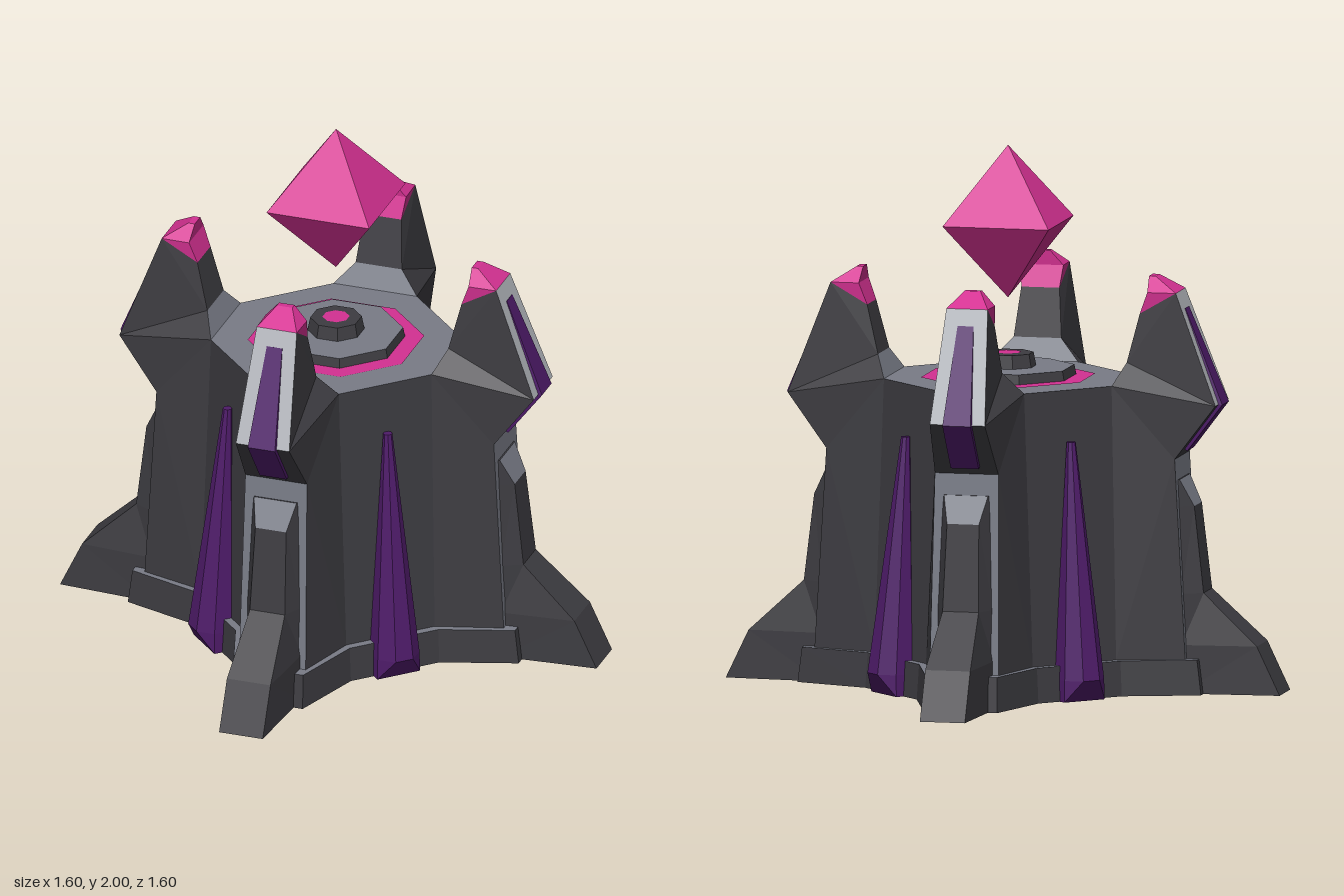
import * as THREE from 'three';

const mat = (name, color, side = THREE.FrontSide) => {
  const m = new THREE.MeshStandardMaterial({ color, side });
  m.name = name;
  return m;
};

// Flat faces from polygons; each one is turned to face away from ref
function faces(polys, ref) {
  const pos = [];
  const r = new THREE.Vector3(...ref);
  for (const poly of polys) {
    const p = poly.map(a => new THREE.Vector3(...a));
    const mid = p.reduce((s, q) => s.add(q), new THREE.Vector3()).divideScalar(p.length);
    const n = new THREE.Vector3();
    p.forEach((q, i) => n.add(q.clone().cross(p[(i + 1) % p.length])));
    if (n.dot(mid.sub(r)) < 0) p.reverse().unshift(p.pop());
    for (let i = 1; i < p.length - 1; i++)
      for (const q of [p[0], p[i], p[i + 1]]) pos.push(q.x, q.y, q.z);
  }
  const g = new THREE.BufferGeometry();
  g.setAttribute('position', new THREE.Float32BufferAttribute(pos, 3));
  g.computeVertexNormals();
  return g;
}

// Corner frame: u runs out along the diagonal, v across it
const corner = (u, y, v) => [(u + v) * Math.SQRT1_2, y, (u - v) * Math.SQRT1_2];
// A row is [u, y, half width]; half gives one end, pair both ends
const half = ([u, y, v], s) => corner(u, y, v * s);
const pair = row => [half(row, 1), half(row, -1)];
const band = (a, b) => { const [p, q] = pair(a), [r, s] = pair(b); return [p, q, s, r]; };
const flip = ([x, y, z]) => [-x, y, z];

export function createModel() {
  const dark = mat('charcoal', 0x3d3c41, THREE.DoubleSide);
  const gray = mat('slate gray', 0x797c87, THREE.DoubleSide);
  const light = mat('light gray', 0xb2b5bb);
  const purple = mat('deep purple', 0x4e1b69);
  const pink = mat('magenta', 0xd43192);

  const model = new THREE.Group();
  const quarter = [];
  const add = (name, geo, material) => quarter.push([name, geo, material]);

  // Key rows of a horn
  const A = [0.658, 0.87, 0.12], B = [0.808, 1.07, 0.104], C = [0.652, 1.48, 0.078];
  const D = [0.545, 1.48, 0.08], E = [0.515, 1.4, 0.072], F = [0.47, 1.22, 0.09];
  const G = [0.43, 1.14, 0.163], foot = [0.7, 0.13, 0.13];
  const T = [0.565, 1.535, 0.03], S = [0.54, 1.535, 0.03];

  // Body walls: flat centre and two flaring sides
  const g = half(G, -1), a = half(A, -1), f = half(foot, -1);
  const low = [0.18, 0.13, 0.465];
  add('bodyWall', faces([
    [flip(low), low, g, flip(g)],
    [low, f, a, g], [low, f, a, g].map(flip),
  ], [0, 0.6, 0]), dark);

  // Top plate and its slopes up to the horns
  add('topPlate', faces([
    [[0, 1.14, 0], g, flip(g)],
    [[0, 1.14, 0], ...pair(G)],
  ], [0, 0, 0]), gray);
  add('plateSlope', faces([band(G, F)], corner(0.6, 1, 0)), gray);

  // Horn with a pale outer face and a crystal tip
  const hornFaces = [band(A, B), band(F, E)];
  const tip = [band(C, T), band(T, S), band(S, D), band(D, E)];
  for (const s of [-1, 1]) {
    for (const t of [[G, A, B], [G, B, F], [F, B, C], [F, C, E]])
      hornFaces.push(t.map(p => half(p, s)));
    tip.push([C, T, S, D].map(p => half(p, s)), [C, D, E].map(p => half(p, s)));
  }
  add('horn', faces(hornFaces, corner(0.6, 1.15, 0)), dark);
  add('hornFace', faces([band(B, C)], corner(0.6, 1.15, 0)), light);
  add('hornTip', faces(tip, corner(0.575, 1.46, 0)), pink);

  // Front bands and side walls between matching front and back rows
  const fronts = rows => rows.slice(1).map((r, i) => band(rows[i], r));
  const sides = (front, back) => front.slice(1).flatMap((r, i) => [-1, 1].map(s =>
    [front[i], r, back[i + 1], back[i]].map(p => half(p, s))));

  // Purple inlay folded over the horn
  const inlay = [[0.677, 1.42, 0.03], [0.822, 1.068, 0.053], [0.69, 0.893, 0.053]];
  const seat = [[0.667, 1.415, 0.032], [0.806, 1.07, 0.055], [0.68, 0.9, 0.055]];
  add('hornInlay', faces([
    ...fronts(inlay), ...sides(inlay, seat),
    band(inlay[0], seat[0]), band(inlay[2], seat[2]),
  ], corner(0.7, 1.1, 0)), purple);

  // Gray backing and the open-bottomed buttress in front of it
  add('buttressBacking', faces([band(A, foot)], [0, 0.5, 0]), gray);
  const front = [[0.668, 0.79, 0.083], [0.718, 0.69, 0.06], [0.755, 0.37, 0.068],
    [0.96, 0.18, 0.085], [1.046, 0, 0.085]];
  const back = [[0.655, 0.79, 0.088], [0.66, 0.69, 0.096], [0.68, 0.37, 0.105],
    [0.68, 0.18, 0.108], [0.68, 0, 0.11]];
  add('buttressCap', faces([band(front[0], front[1])], [0, 0.5, 0]), gray);
  add('buttress', faces([
    ...fronts(front.slice(1)), ...sides(front, back), band(front[0], back[0]),
  ], corner(0.68, 0.1, 0)), dark);

  // Hollow base rim under a gray deck
  const rb = [0.18, 0, 0.505], rt = [0.18, 0.13, 0.495];
  const cb = [0.762, 0, 0.14], ct = [0.746, 0.13, 0.136];
  const b = half(cb, -1), t = half(ct, -1);
  add('baseRim', faces([
    [flip(rb), rb, rt, flip(rt)],
    [rb, b, t, rt], [rb, b, t, rt].map(flip),
    band(cb, ct),
  ], [0, 0.06, 0]), dark);
  add('baseDeck', faces([
    [[0, 0.13, 0], flip(t), flip(rt), rt, t],
    [[0, 0.13, 0], ...pair(ct)],
  ], [0, -5, 0]), gray);

  // Octagonal spike leaning against each wall, undercut at its front and back
  const loops = [[0, 0.5, 0.092], [0.08, 0.5, 0.092], [0.95, 0.442, 0.017]].map(([y, z, r], k) =>
    Array.from({ length: 8 }, (_, i) => {
      const w = (i + 0.5) * Math.PI / 4;
      const c = Math.cos(w), s = Math.sin(w);
      if (k === 0) return [Math.sign(s) * 0.087, 0, z + Math.sign(c) * 0.036];
      return [s * r, y, z + c * r];
    }));
  const spike = [loops[0], loops[2]];
  for (let k = 0; k < 2; k++)
    for (let i = 0; i < 8; i++) {
      const j = (i + 1) % 8;
      spike.push([loops[k][i], loops[k][j], loops[k + 1][j], loops[k + 1][i]]);
    }
  add('wallSpike', faces(spike, [0, 0.4, 0.475]), purple);

  // Four identical quarters
  for (let k = 0; k < 4; k++) {
    const q = new THREE.Group();
    q.name = 'towerQuarter';
    q.rotation.y = k * Math.PI / 2;
    for (const [name, geo, m] of quarter) {
      const mesh = new THREE.Mesh(geo, m);
      mesh.name = name;
      q.add(mesh);
    }
    model.add(q);
  }

  // Emitter in the middle of the plate
  const place = (name, geo, m, y) => {
    const mesh = new THREE.Mesh(geo, m);
    mesh.name = name;
    mesh.position.y = y;
    model.add(mesh);
  };
  const octagon = (top, bottom, h) => {
    const geo = new THREE.CylinderGeometry(top, bottom, h, 8).toNonIndexed().rotateY(Math.PI / 8);
    geo.computeVertexNormals();
    return geo;
  };
  const flatRing = (inner, outer) =>
    new THREE.RingGeometry(inner, outer, 8, 1, Math.PI / 8).rotateX(-Math.PI / 2);
  place('glowRing', flatRing(0.22, 0.325), pink, 1.144);
  place('emitterDisc', octagon(0.247, 0.255, 0.04), [dark, gray, dark], 1.16);
  place('emitter', octagon(0.095, 0.105, 0.05), dark, 1.205);
  place('emitterCore', flatRing(0, 0.05), pink, 1.232);

  // Floating crystal
  place('floatingCrystal', new THREE.OctahedronGeometry(0.283), pink, 1.717);
  return model;
}
